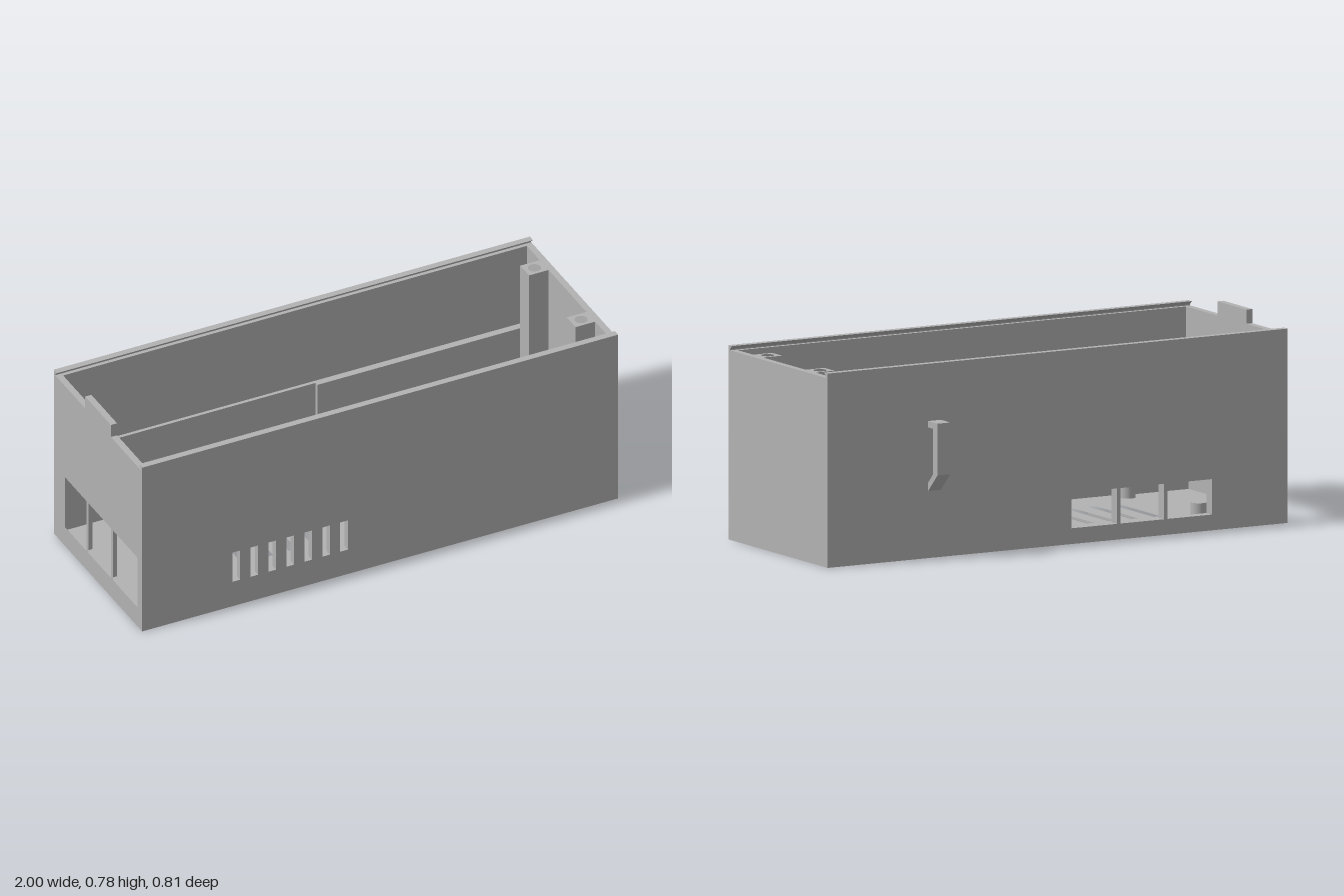
import * as THREE from 'three';

// points of a rectangle
const rect = (x0, y0, x1, y1) => [[x0, y0], [x1, y0], [x1, y1], [x0, y1]];
// points of a regular polygon
const ring = (cx, cy, r, n = 24) => Array.from({ length: n }, (_, i) => {
  const a = (i / n) * Math.PI * 2;
  return [cx + r * Math.cos(a), cy + r * Math.sin(a)];
});

export function createModel() {
  const model = new THREE.Group();
  model.name = 'enclosure';
  const grey = new THREE.MeshStandardMaterial({ color: 0xb2b2b2 });
  grey.name = 'grey plastic';

  // Extrudes an outline with holes along an axis, from position a to b.
  // Outline points are (x, y) for z, (z, y) for x and (x, z) for y.
  function slab(name, axis, a, b, outline, holes = []) {
    const toPath = (pts) => pts.map(([u, v]) =>
      new THREE.Vector2(axis === 'x' ? -u : u, axis === 'y' ? -v : v));
    const shape = new THREE.Shape(toPath(outline));
    holes.forEach((h) => shape.holes.push(new THREE.Path(toPath(h))));
    const geo = new THREE.ExtrudeGeometry(shape, { depth: b - a, bevelEnabled: false });
    if (axis === 'x') geo.rotateY(Math.PI / 2);
    if (axis === 'y') geo.rotateX(-Math.PI / 2);
    const mesh = new THREE.Mesh(geo, grey);
    mesh.position[axis] = a;
    mesh.name = name;
    model.add(mesh);
  }

  const front = 0.405, back = -0.335, frontIn = 0.378, backIn = -0.308;
  const endIn = 0.974, floorY = 0.03, wallTop = 0.722, railTop = 0.74, ledgeTop = 0.38;
  const nut = [0.3, 0.03];

  // floor with air slots and mounting hole
  const floorSlots = [0, 1, 2, 3, 4].map((i) => {
    const x = -0.56 + i * 0.097;
    return rect(x - 0.016, -0.118, x + 0.016, 0.206);
  });
  slab('floor', 'y', 0, floorY, rect(-endIn, backIn, endIn, frontIn),
    [...floorSlots, ring(...nut, 0.04)]);

  // front wall with vents
  const vents = [0, 1, 2, 3, 4, 5, 6].map((i) => {
    const x = -0.605 + i * 0.0755;
    return rect(x - 0.016, 0.11, x + 0.016, 0.242);
  });
  slab('frontWall', 'z', frontIn, front, rect(-1, 0, 1, wallTop), vents);

  // back wall with three connector windows
  const windows = [[-0.67, -0.478], [-0.463, -0.273], [-0.258, -0.06]]
    .map(([a, b]) => rect(a, 0.06, b, 0.195));
  slab('backWall', 'z', back, backIn, rect(-1, 0, 1, wallTop), windows);

  // end walls, one with windows and a raised tab
  slab('plainEndWall', 'x', endIn, 1, rect(backIn, 0, frontIn, wallTop));
  const endWindows = [[-0.256, -0.062], [-0.045, 0.143], [0.16, 0.365]]
    .map(([a, b]) => rect(a, 0.085, b, 0.31));
  slab('windowEndWall', 'x', -1, -endIn, rect(backIn, 0, frontIn, wallTop), endWindows);
  slab('lidTab', 'x', -1, -endIn, rect(-0.072, wallTop, 0.143, 0.776));

  // undercut rails that guide a sliding lid
  const rail = (s, z) => [[z, wallTop], [z, railTop], [z - s * 0.027, railTop],
    [z - s * 0.012, 0.726], [z - s * 0.012, wallTop]];
  slab('frontLidRail', 'x', -1, 1, rail(1, front));
  slab('backLidRail', 'x', -1, 1, rail(-1, back));

  // thickened lower walls, stepped and left clear around the openings
  slab('backLedge', 'z', backIn, -0.294, rect(-endIn, floorY, 0.08, ledgeTop), windows);
  slab('backThickLedge', 'z', backIn, -0.279, rect(0.08, floorY, endIn, ledgeTop));
  slab('frontLedge', 'z', 0.358, frontIn, rect(-endIn, floorY, -0.67, ledgeTop));
  slab('frontLedge', 'z', 0.358, frontIn, rect(-0.06, floorY, 0.08, ledgeTop));
  slab('frontThickLedge', 'z', 0.342, frontIn, rect(0.08, floorY, endIn, ledgeTop));

  // board standoffs
  for (const x of [-0.68, -0.057])
    for (const z of [-0.22, 0.309])
      slab('standoff', 'y', floorY, 0.09, ring(x, z, 0.03), [ring(x, z, 0.012, 16)]);

  // nut boss with hexagonal pocket
  slab('nutBoss', 'y', floorY, 0.09, ring(...nut, 0.107, 40), [ring(...nut, 0.072, 6)]);

  // lid screw posts
  for (const z of [-0.163, 0.227])
    slab('screwPost', 'y', floorY, wallTop, rect(0.892, z - 0.037, endIn, z + 0.037),
      [ring(0.933, z, 0.025)]);

  // small stops above the end windows
  for (const z of [-0.165, 0.225])
    slab('stop', 'x', -endIn, -0.897, rect(z - 0.014, 0.4, z + 0.014, 0.48));

  // cable hook on the back
  slab('cableHook', 'x', 0.508, 0.564, [[back, 0.522], [-0.405, 0.522], [-0.405, 0.325],
    [back, 0.255], [back, 0.286], [-0.373, 0.325], [-0.373, 0.498], [back, 0.498]]);

  return model;
}
